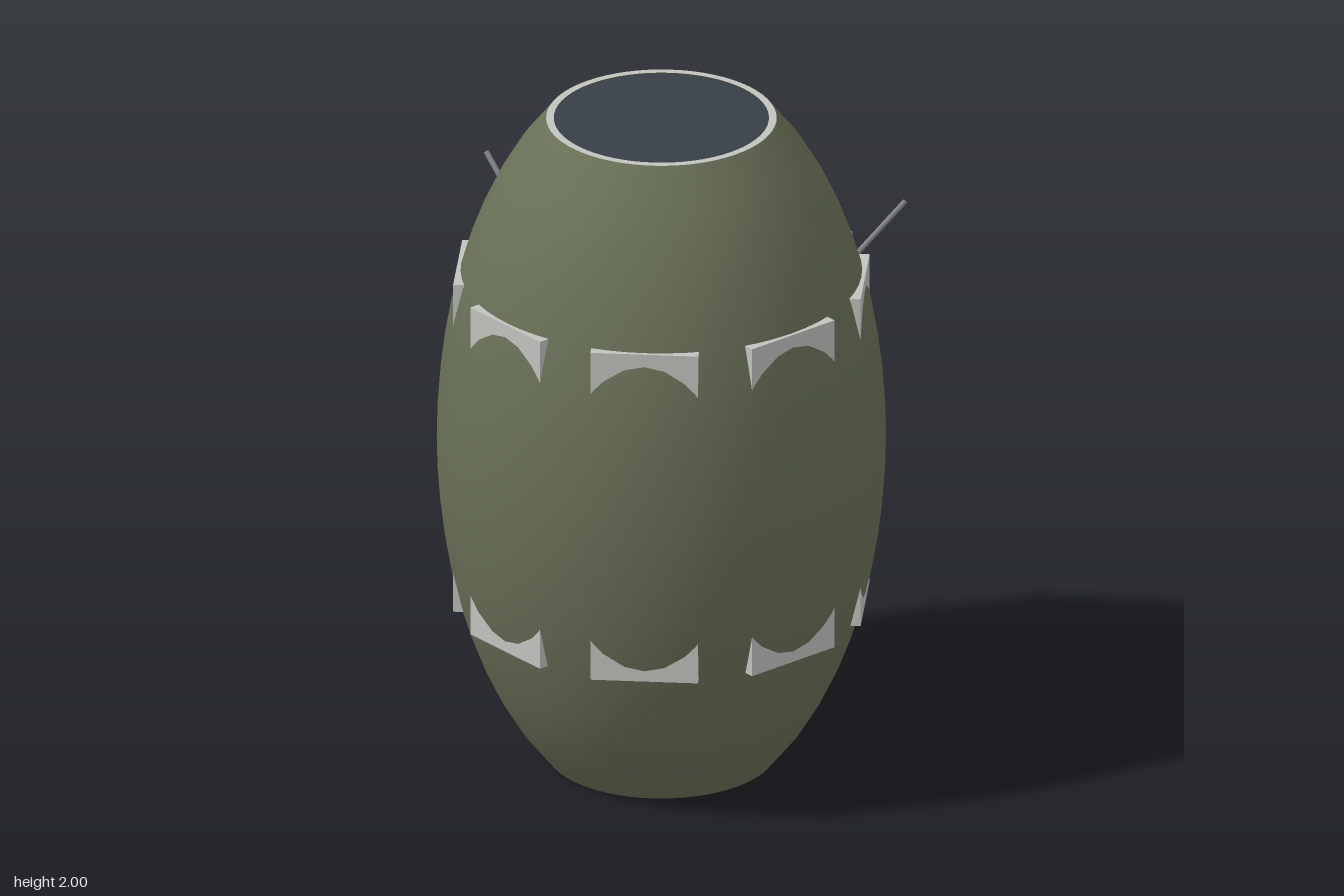
import * as THREE from 'three';

const mat = (name, color, side = THREE.FrontSide) => {
  const m = new THREE.MeshStandardMaterial({ color, side });
  m.name = name;
  return m;
};

export function createModel() {
  const model = new THREE.Group();
  model.name = 'barrelPod';
  const hullGreen = mat('hullGreen', 0x687057, THREE.DoubleSide);
  const paleGrey = mat('paleGrey', 0xc2c3be, THREE.DoubleSide);
  const hatchBlue = mat('hatchBlue', 0x383e47, THREE.DoubleSide);
  const rodGrey = mat('rodGrey', 0x858585);
  const floorBrown = mat('floorBrown', 0x6a5850, THREE.DoubleSide);

  // The pod axis sits slightly off centre
  const pod = new THREE.Group();
  pod.name = 'pod';
  pod.position.x = 0.04;
  model.add(pod);

  const add = (name, geometry, material, parent = pod) => {
    const mesh = new THREE.Mesh(geometry, material);
    mesh.name = name;
    parent.add(mesh);
    return mesh;
  };

  // Elliptical hull, open at both ends
  const radiusAt = y => 0.645 * Math.sqrt(1 - 0.738 * (y - 1) ** 2);
  const profile = [];
  for (let i = 0; i <= 20; i++) profile.push(new THREE.Vector2(radiusAt(i / 10), i / 10));
  add('hull', new THREE.LatheGeometry(profile, 64), hullGreen);

  // Top rim and hatch
  const flatDisc = (name, geometry, material, y) => {
    const mesh = add(name, geometry, material);
    mesh.rotation.x = -Math.PI / 2;
    mesh.position.y = y;
  };
  flatDisc('rim', new THREE.RingGeometry(0.309, 0.331, 64), paleGrey, 2);
  flatDisc('hatch', new THREE.CircleGeometry(0.312, 64), hatchBlue, 1.995);

  // Inner floor seen through the bottom opening
  flatDisc('innerFloor', new THREE.CircleGeometry(0.565, 64), floorBrown, 0.495);

  // Two rings of eight blocks, partly sunk into the hull
  const blockGeometry = new THREE.BoxGeometry(0.31, 0.2, 0.06);
  for (const [name, y] of [['lowerBlock', 0.587], ['upperBlock', 1.42]]) {
    for (let i = 0; i < 8; i++) {
      const angle = i * Math.PI / 4;
      const block = add(name, blockGeometry, paleGrey);
      block.position.set(Math.sin(angle) * 0.557, y, Math.cos(angle) * 0.557);
      block.rotation.y = angle;
    }
  }

  // Slanted antenna rods
  const up = new THREE.Vector3(0, 1, 0);
  for (const degrees of [176, -64]) {
    const a = THREE.MathUtils.degToRad(degrees);
    const point = (r, y) => new THREE.Vector3(Math.cos(a) * r, y, Math.sin(a) * r);
    const start = point(0.56, 1.485), end = point(0.722, 1.655);
    const rod = add('antenna', new THREE.CylinderGeometry(0.008, 0.008, start.distanceTo(end), 10), rodGrey);
    rod.position.copy(start).lerp(end, 0.5);
    rod.quaternion.setFromUnitVectors(up, end.sub(start).normalize());
  }
  return model;
}
